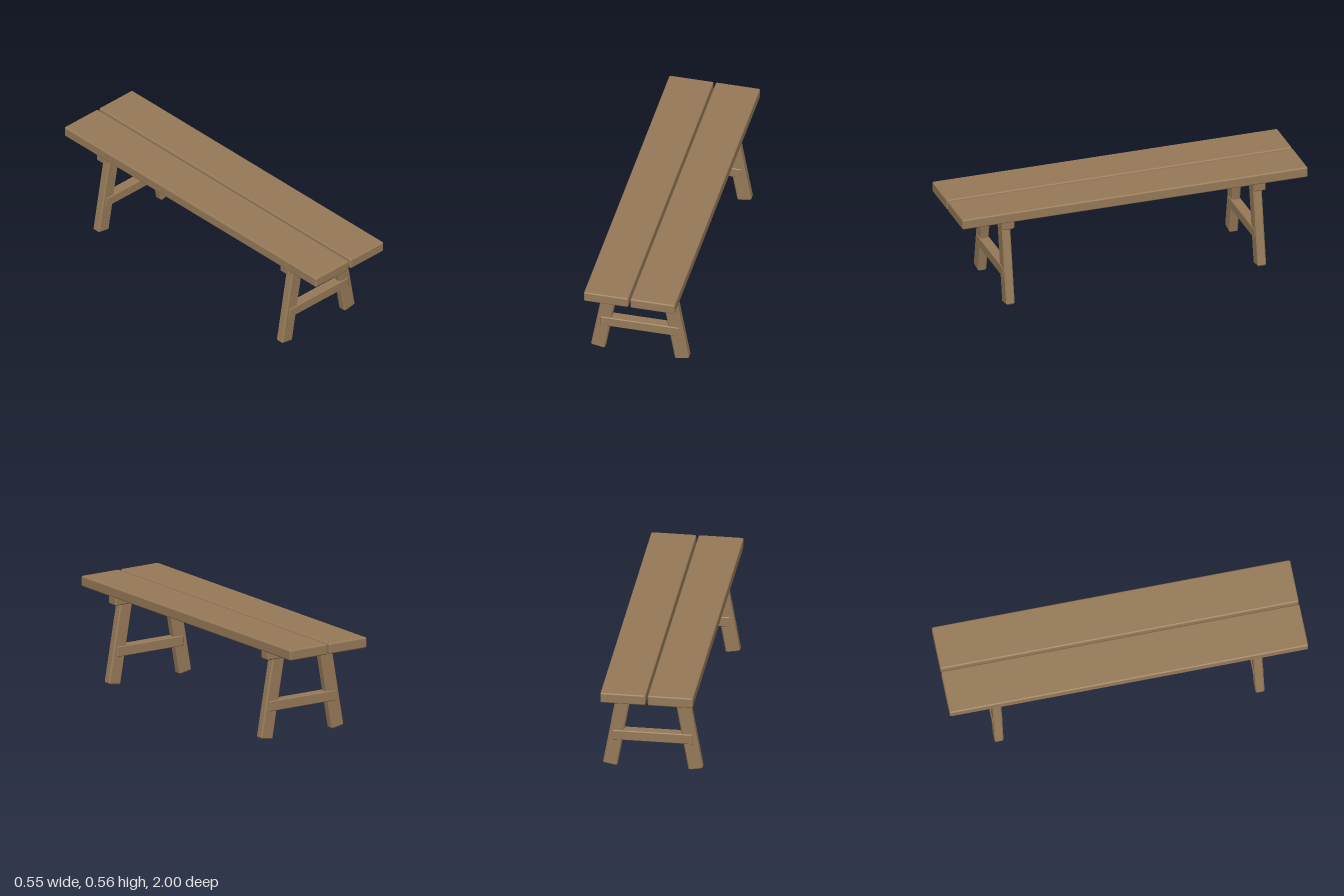
import * as THREE from 'three';
import { RoundedBoxGeometry } from 'three/addons/geometries/RoundedBoxGeometry.js';
import { ConvexGeometry } from 'three/addons/geometries/ConvexGeometry.js';

// Box with a flat chamfer of width c along every edge
function chamferBox(w, h, d, c) {
  const points = [];
  for (const sx of [-1, 1]) for (const sy of [-1, 1]) for (const sz of [-1, 1]) {
    const x = sx * w / 2, y = sy * h / 2, z = sz * d / 2;
    points.push(
      new THREE.Vector3(x, y - sy * c, z - sz * c),
      new THREE.Vector3(x - sx * c, y, z - sz * c),
      new THREE.Vector3(x - sx * c, y - sy * c, z));
  }
  return new ConvexGeometry(points);
}

export function createModel() {
  const bench = new THREE.Group();
  bench.name = 'bench';
  const wood = new THREE.MeshStandardMaterial({ color: 0x967a58 });
  wood.name = 'wood';

  const add = (parent, name, geometry, x, y, z) => {
    const mesh = new THREE.Mesh(geometry, wood);
    mesh.name = name;
    mesh.position.set(x, y, z);
    parent.add(mesh);
    return mesh;
  };

  // Two long seat planks with softened edges
  const plank = new RoundedBoxGeometry(0.25, 0.06, 2, 3, 0.009);
  add(bench, 'leftSeatPlank', plank, 0.131, 0.532, 0);
  add(bench, 'rightSeatPlank', plank, -0.131, 0.532, 0);

  // Trestles: top cleat, cross brace and two splayed legs
  const tilt = THREE.MathUtils.degToRad(10), legLength = 0.48;
  const cleat = chamferBox(0.476, 0.05, 0.07, 0.006);
  const brace = chamferBox(0.444, 0.058, 0.058, 0.004);
  const leg = chamferBox(0.08, legLength, 0.05, 0.007);
  for (const end of [1, -1]) {
    const trestle = new THREE.Group();
    trestle.name = end > 0 ? 'frontTrestle' : 'backTrestle';
    trestle.position.z = end * 0.728;
    bench.add(trestle);
    add(trestle, 'cleat', cleat, 0, 0.477, 0);
    add(trestle, 'brace', brace, 0, 0.189, 0);
    for (const side of [1, -1]) {
      const x = side * (0.237 - Math.sin(tilt) * legLength / 2);
      const y = 0.006 + Math.cos(tilt) * legLength / 2;
      add(trestle, side > 0 ? 'leftLeg' : 'rightLeg', leg, x, y, 0).rotation.z = side * tilt;
    }
  }
  return bench;
}
